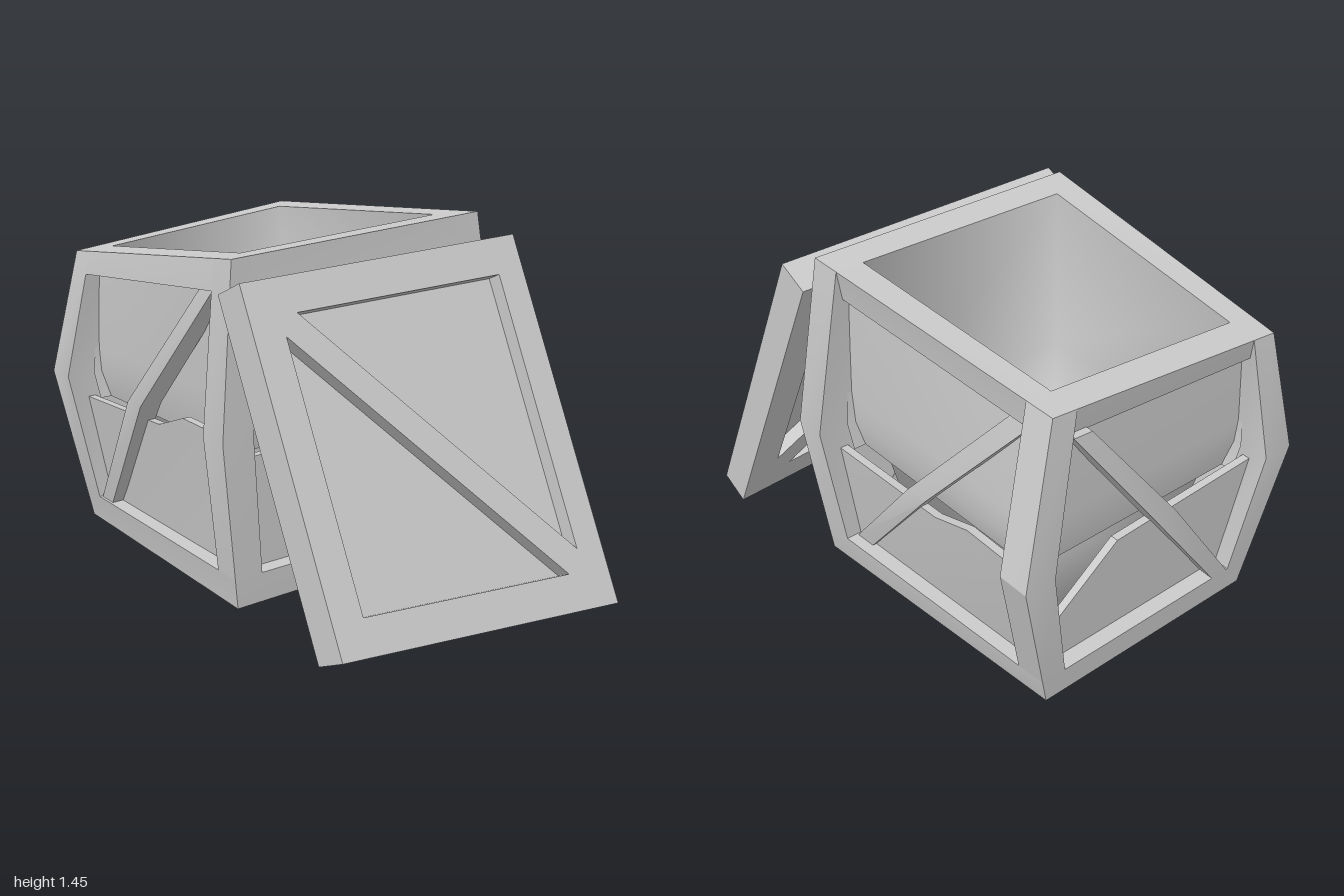
import * as THREE from 'three';
import { mergeVertices, toCreasedNormals } from 'three/addons/utils/BufferGeometryUtils.js';

const grey = new THREE.MeshStandardMaterial({ color: 0xcccccc });
const greyThin = new THREE.MeshStandardMaterial({ color: 0xcccccc, side: THREE.DoubleSide });

// Corner rings of the battered crate, from bottom to top:
// front-left, front-right, back-left, back-right (-x first)
const rings = [
  [[-0.6, 0.12, 0.26], [0.58, 0.12, 0.25], [-0.51, 0.12, -0.93], [0.49, 0.12, -0.93]],
  [[-0.66, 0.76, 0.27], [0.665, 0.76, 0.29], [-0.63, 0.76, -1], [0.66, 0.76, -1]],
  [[-0.6, 1.41, 0.255], [0.585, 1.455, 0.23], [-0.53, 1.26, -0.94], [0.51, 1.365, -0.94]],
].map((ring) => ring.map((p) => new THREE.Vector3(...p)));

// A point on one ring, with x and z running from -1 to 1
function onRing(ring, x, z) {
  const front = ring[0].clone().lerp(ring[1], (x + 1) / 2);
  const back = ring[2].clone().lerp(ring[3], (x + 1) / 2);
  return back.lerp(front, (z + 1) / 2);
}

// Bends a unit-space geometry (x, z: -1..1, y: 0..1) into the bulging crate
function warp(geometry) {
  const pos = geometry.attributes.position;
  for (let i = 0; i < pos.count; i++) {
    const x = pos.getX(i), y = pos.getY(i), z = pos.getZ(i);
    const k = y < 0.5 ? 0 : 1;
    const p = onRing(rings[k], x, z).lerp(onRing(rings[k + 1], x, z), y * 2 - k);
    pos.setXYZ(i, p.x, p.y, p.z);
  }
  geometry.computeVertexNormals();
  return geometry;
}

// Box given by its limits in unit space
function block(x0, x1, y0, y1, z0, z1, ySegments = 1) {
  return new THREE.BoxGeometry(x1 - x0, y1 - y0, z1 - z0, 1, ySegments, 1)
    .translate((x0 + x1) / 2, (y0 + y1) / 2, (z0 + z1) / 2);
}

function shapeOf(points) {
  return new THREE.Shape(points.map(([x, y]) => new THREE.Vector2(x, y)));
}

// Broken top edges of the lower boards, from right to left
const broken = [[0.82, 0.49], [0.4, 0.495], [0.1, 0.44], [-0.82, 0.425]];
const brokenBack = [[0.82, 0.47], [-0.25, 0.44], [-0.82, 0.22]];

// Front, right, back, left: direction of the brace, how far out it stands,
// lower edge of the top rail, broken edge
const sides = [
  { lean: -1, face: 0.96, railEdge: 1, edge: broken },
  { lean: 1, face: 0.92, railEdge: 0.93, edge: broken },
  { lean: -1, face: 1, railEdge: 0.95, edge: brokenBack },
  { lean: 1, face: 0.98, railEdge: 1, edge: broken },
];

function createCrate() {
  const crate = new THREE.Group();
  crate.name = 'crate';
  const add = (name, geometry, material = grey) => {
    const mesh = new THREE.Mesh(toCreasedNormals(warp(geometry), 0.4), material);
    mesh.name = name;
    crate.add(mesh);
  };

  add('base', block(-1, 1, 0, 0.09, -1, 1));

  // Corner posts, kinked outwards at mid height
  for (const sx of [-1, 1]) {
    for (const sz of [-1, 1]) {
      const post = block(-0.1, 0.1, 0.09, 1, -0.1, 0.1, 2);
      const pos = post.attributes.position;
      for (let i = 0; i < pos.count; i++) {
        if (Math.abs(pos.getY(i) - 0.545) < 0.01) pos.setY(i, 0.5);
      }
      add('cornerPost', post.translate(sx * 0.9, 0, sz * 0.9));
    }
  }

  sides.forEach(({ lean, face, railEdge, edge }, k) => {
    const turn = (k * Math.PI) / 2;

    // Top rail, its lower edge pushed in
    const rail = block(-0.8, 0.8, 0.91, 1, 0.8, 1);
    const rp = rail.attributes.position;
    for (let i = 0; i < rp.count; i++) {
      if (rp.getY(i) < 0.95 && rp.getZ(i) > 0.9) rp.setZ(i, railEdge);
    }
    add('topRail', rail.rotateY(turn));

    // Diagonal brace, sheared from corner to corner
    const brace = block(-0.075, 0.075, 0.085, 0.915, 0.84, face, 2);
    const bp = brace.attributes.position;
    for (let i = 0; i < bp.count; i++) {
      bp.setX(i, bp.getX(i) + lean * 1.74 * (bp.getY(i) - 0.5));
    }
    add('brace', brace.rotateY(turn));

    // Lower board with a broken top edge
    const lower = shapeOf([[-0.82, 0.08], [0.82, 0.08], ...edge]);
    add('lowerBoard', new THREE.ExtrudeGeometry(lower, { depth: 0.05, bevelEnabled: false })
      .translate(0, 0, 0.84).rotateY(turn));

    // Upper board, pushed in towards its lower edge
    const upper = new THREE.PlaneGeometry(1.66, 0.51, 4, 6).translate(0, 0.675, 0);
    const up = upper.attributes.position;
    for (let i = 0; i < up.count; i++) {
      up.setZ(i, 0.75 + 0.14 * (up.getY(i) - 0.42) / 0.51);
    }
    add('upperBoard', upper.rotateY(turn), greyThin);
  });

  // Deep tapered inner tub, softly shaded towards its floor
  const profile = [[0, 0.11], [0.6, 0.11], [0.69, 0.5], [0.8, 1]]
    .map(([r, y]) => new THREE.Vector2(r * Math.SQRT2, y));
  let tub = new THREE.LatheGeometry(profile, 4, Math.PI / 4);
  tub.deleteAttribute('normal');
  tub.deleteAttribute('uv');
  tub = warp(mergeVertices(tub, 1e-4));
  const tubMesh = new THREE.Mesh(tub, greyThin);
  tubMesh.name = 'innerTub';
  crate.add(tubMesh);
  return crate;
}

function createLid() {
  const lid = new THREE.Group();
  lid.name = 'lid';
  const lean = 0.439, thick = 0.14;
  // Heights are given upright, then stretched along the slope
  const slope = (points) => points.map(([x, y]) => [x, (y - 0.065) / Math.cos(lean)]);

  // Skewed frame with two triangular windows, leaving a diagonal brace
  const outline = slope([[-0.665, 0.185], [0.63, 0.065], [0.63, 1.385], [-0.665, 1.36]]);
  const frame = shapeOf(outline);
  frame.holes.push(
    shapeOf(slope([[-0.535, 1.175], [-0.535, 0.295], [0.425, 0.213]])),
    shapeOf(slope([[-0.465, 1.243], [0.5, 1.253], [0.5, 0.285]])),
  );
  const frameMesh = new THREE.Mesh(
    new THREE.ExtrudeGeometry(frame, { depth: thick, bevelEnabled: false })
      .translate(0, 0, -thick), grey);
  frameMesh.name = 'lidFrame';

  // Recessed board, seen from both faces
  const board = shapeOf(slope([[-0.56, 0.26], [0.53, 0.18], [0.53, 1.28], [-0.56, 1.27]]));
  const boardMesh = new THREE.Mesh(
    new THREE.ExtrudeGeometry(board, { depth: 0.025, bevelEnabled: false })
      .translate(0, 0, -thick / 2 - 0.0125), grey);
  boardMesh.name = 'lidBoard';

  lid.add(frameMesh, boardMesh);
  lid.rotation.x = -lean;
  lid.position.set(0, 0.062, 1);
  return lid;
}

export function createModel() {
  const model = new THREE.Group();
  model.name = 'brokenCrate';
  model.add(createCrate(), createLid());
  return model;
}
